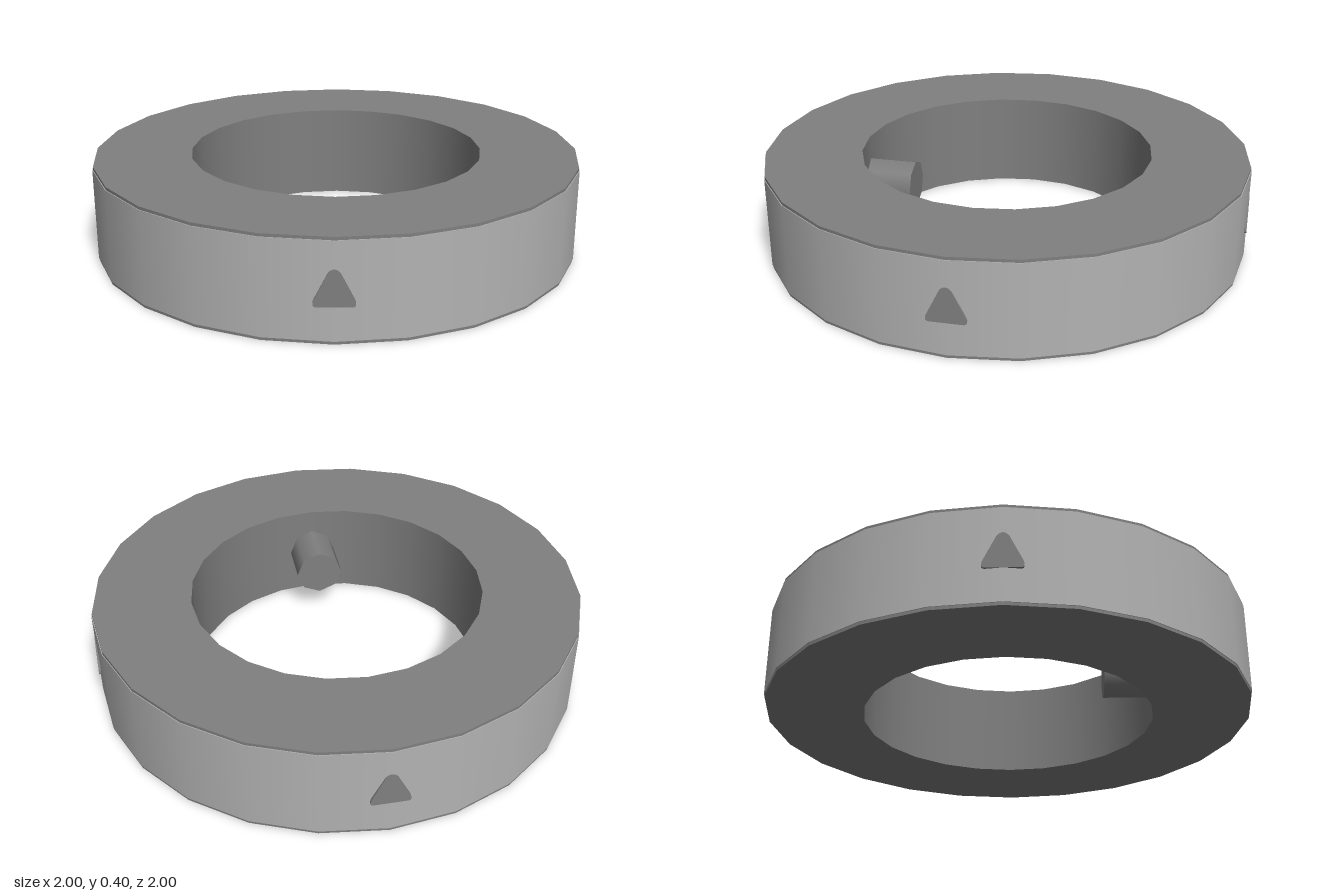
import * as THREE from 'three';
import { mergeGeometries } from 'three/addons/utils/BufferGeometryUtils.js';

const SIDES = 24, OUTER = 1, INNER = 0.6, HEIGHT = 0.4;

// Surface of revolution between two profile points, smooth around and sharp at its rims
const sweep = (r1, y1, r2, y2) => new THREE.LatheGeometry(
  [new THREE.Vector2(r1, y1), new THREE.Vector2(r2, y2)], SIDES);

export function createModel() {
  const dark = new THREE.MeshStandardMaterial({ color: 0x808080 });
  dark.name = 'darkGrey';
  const light = new THREE.MeshStandardMaterial({ color: 0xb3b3b3 });
  light.name = 'lightGrey';

  const group = new THREE.Group();
  group.name = 'ring';
  const add = (name, geometry, material) => {
    const mesh = new THREE.Mesh(geometry, material);
    mesh.name = name;
    group.add(mesh);
    return mesh;
  };

  // Ring body: outer wall, top, bore and underside
  const r = OUTER - 0.003;
  add('ringBody', mergeGeometries([
    sweep(r, 0, r, HEIGHT),
    sweep(r, HEIGHT, INNER, HEIGHT),
    sweep(INNER, HEIGHT, INNER, 0),
    sweep(INNER, 0, r, 0),
  ]), dark);

  // Pale band around the rim, leaving a thin dark edge above and below
  add('outerBand', mergeGeometries([
    sweep(r, 0.012, OUTER, 0.012),
    sweep(OUTER, 0.012, OUTER, HEIGHT - 0.012),
    sweep(OUTER, HEIGHT - 0.012, r, HEIGHT - 0.012),
  ]), light);

  // Round-cornered triangular marks on the four sides
  const mark = new THREE.Shape();
  mark.moveTo(-0.065, 0.143);
  mark.lineTo(0.065, 0.143);
  mark.quadraticCurveTo(0.08, 0.145, 0.072, 0.168);
  mark.lineTo(0.022, 0.27);
  mark.quadraticCurveTo(0, 0.298, -0.022, 0.27);
  mark.lineTo(-0.072, 0.168);
  mark.quadraticCurveTo(-0.08, 0.145, -0.065, 0.143);
  const markGeometry = new THREE.ExtrudeGeometry(mark, { depth: 0.0095, bevelEnabled: false, curveSegments: 4 });
  markGeometry.translate(0, 0, OUTER - 0.0085);
  for (let i = 0; i < 4; i++) {
    add('triangleMark', markGeometry, dark).rotation.y = i * Math.PI / 2;
  }

  // Pin reaching inwards from the front of the bore
  const pin = add('pin', new THREE.CylinderGeometry(0.1, 0.1, 0.25, 8), dark);
  pin.rotation.x = Math.PI / 2;
  pin.position.set(0, HEIGHT / 2, 0.525);

  return group;
}
